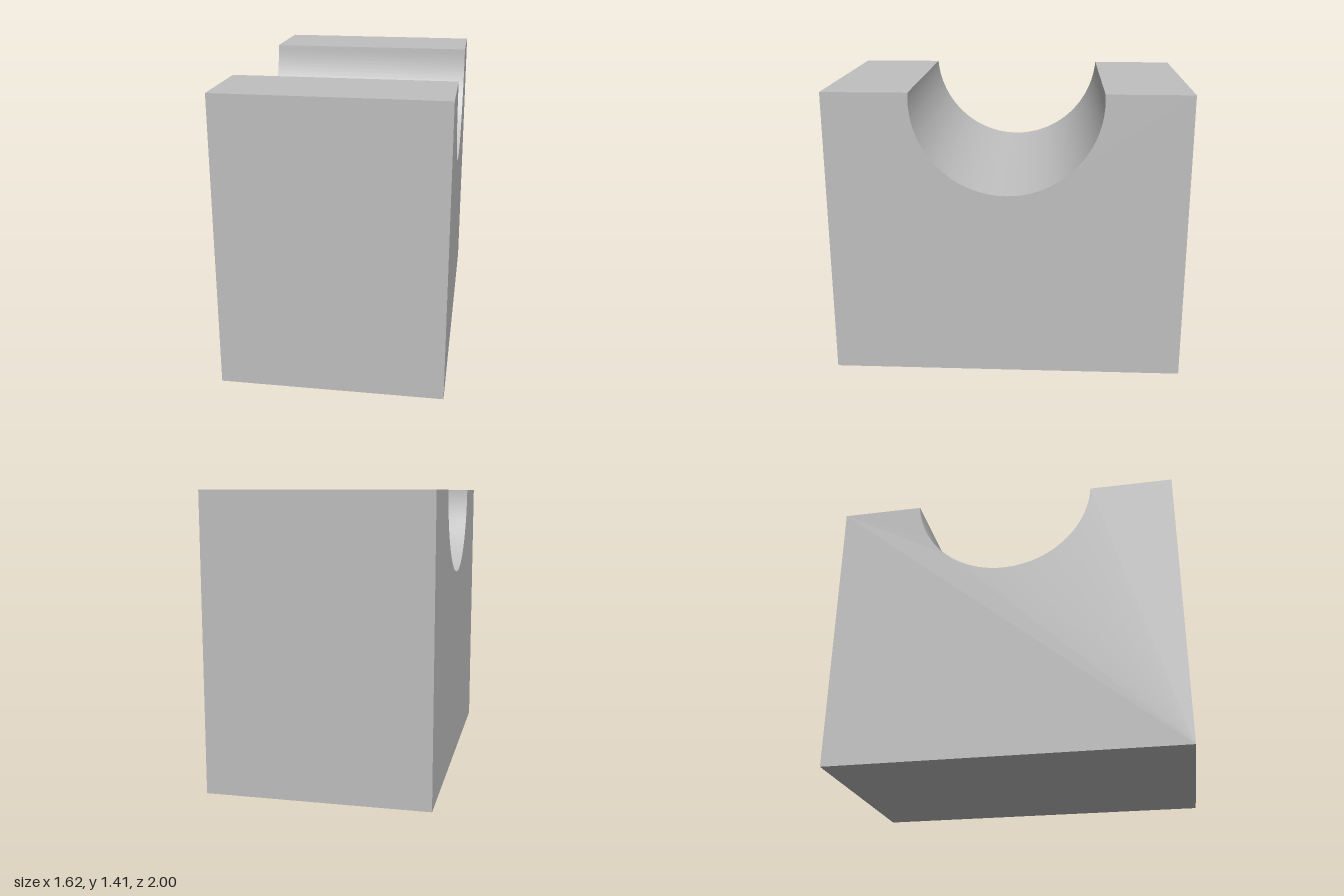
import * as THREE from 'three';
import { toCreasedNormals } from 'three/addons/utils/BufferGeometryUtils.js';

const WIDTH = 1.064, LENGTH = 1.729, HEIGHT = 1.41;
const RADIUS = 0.455;
const AXIS_LEFT = 1.375, AXIS_RIGHT = 1.445; // height of the groove axis at the +x and -x ends
const TURN = 0.3735;
const STEPS = 64;

export function createModel() {
  const group = new THREE.Group();
  const grey = new THREE.MeshStandardMaterial({ color: 0xbfbfbf });
  grey.name = 'light grey';

  // Block outline with a half-round groove in its top
  const half = LENGTH / 2;
  const shape = new THREE.Shape();
  shape.moveTo(-half, 0);
  shape.lineTo(half, 0);
  shape.lineTo(half, HEIGHT);
  for (let i = 0; i <= STEPS; i++) {
    const a = -Math.PI * i / STEPS;
    shape.lineTo(RADIUS * Math.cos(a), HEIGHT + RADIUS * Math.sin(a));
  }
  shape.lineTo(-half, HEIGHT);
  shape.closePath();

  let geometry = new THREE.ExtrudeGeometry(shape, { depth: WIDTH, bevelEnabled: false });
  geometry.translate(0, 0, -WIDTH / 2);

  // Tilt the groove: refit each end's arc to its own axis height, keeping the rim level
  const p = geometry.attributes.position;
  for (let i = 0; i < p.count; i++) {
    const x = p.getX(i), y = p.getY(i);
    if (y < 0.5 || Math.abs(x) > RADIUS + 0.01) continue;
    const axis = p.getZ(i) > 0 ? AXIS_LEFT : AXIS_RIGHT;
    const rise = Math.asin((HEIGHT - axis) / RADIUS);
    const t = Math.atan2(HEIGHT - y, x) / Math.PI;
    const a = rise - Math.abs(t) * (Math.PI + 2 * rise);
    p.setXY(i, RADIUS * Math.cos(a), axis + RADIUS * Math.sin(a));
  }
  geometry = toCreasedNormals(geometry, 0.6);
  geometry.rotateY(Math.PI / 2 + TURN);

  const block = new THREE.Mesh(geometry, grey);
  block.name = 'groovedBlock';
  group.add(block);
  return group;
}
